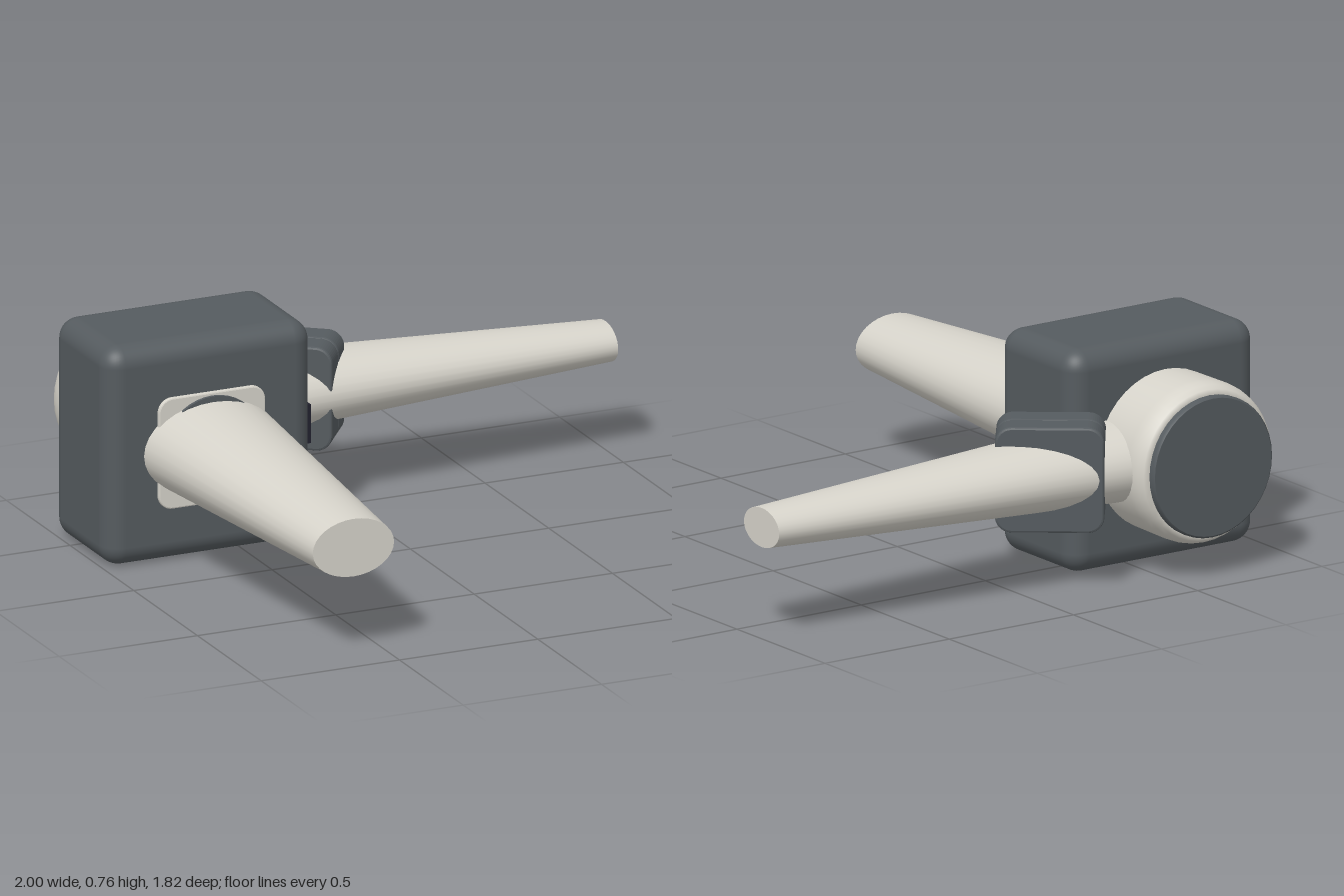
import * as THREE from 'three';
import { RoundedBoxGeometry } from 'three/addons/geometries/RoundedBoxGeometry.js';

const CY = 0.38; // shared centre height
const CX = -0.625; // housing centre

export function createModel() {
  const model = new THREE.Group();
  const slate = new THREE.MeshStandardMaterial({ name: 'slateGrey', color: 0x555b5f });
  const cream = new THREE.MeshStandardMaterial({ name: 'warmWhite', color: 0xd6d3ca });
  const ink = new THREE.MeshStandardMaterial({ name: 'inkBlack', color: 0x22222e });

  const add = (name, geometry, material, x, y, z, parent = model) => {
    const mesh = new THREE.Mesh(geometry, material);
    mesh.name = name;
    mesh.position.set(x, y, z);
    parent.add(mesh);
    return mesh;
  };

  // square slab with rounded corners, centred, facing +z
  const slab = (size, radius, depth, bevel) => {
    const h = size / 2 - bevel, r = radius - bevel;
    const s = new THREE.Shape();
    s.absarc(h - r, h - r, r, 0, Math.PI / 2);
    s.absarc(r - h, h - r, r, Math.PI / 2, Math.PI);
    s.absarc(r - h, r - h, r, Math.PI, Math.PI * 1.5);
    s.absarc(h - r, r - h, r, Math.PI * 1.5, Math.PI * 2);
    const g = new THREE.ExtrudeGeometry(s, {
      depth: depth - 2 * bevel, bevelSize: bevel, bevelThickness: bevel, bevelSegments: 2, curveSegments: 6,
    });
    return g.translate(0, 0, bevel - depth / 2);
  };

  // tapered arm with a flattened oval section, along +y before turning
  const taper = (end, start, length) => new THREE.CylinderGeometry(end, start, length, 32);

  // main housing and side button
  add('housing', new RoundedBoxGeometry(0.75, 0.76, 0.43, 5, 0.07), slate, CX, CY, -0.425);
  add('sideButton', new THREE.BoxGeometry(0.04, 0.135, 0.085), ink, -0.25, CY, -0.325);

  // front mounting plate, collar and arm
  add('frontPlate', slab(0.385, 0.05, 0.03, 0.005), cream, CX, CY, -0.212);
  add('frontCollar', new THREE.CylinderGeometry(0.182, 0.182, 0.04, 40).rotateX(Math.PI / 2), slate, CX, CY, -0.206);
  add('frontArm', taper(0.147, 0.241, 1.12).rotateX(Math.PI / 2).scale(1, 0.68, 1), cream, CX, CY, 0.35);

  // rear drum with rounded rim, and its cap
  const drum = [[0.272, 0], [0.275, 0.2], [0.274, 0.225], [0.268, 0.25], [0.257, 0.27], [0.242, 0.28], [0, 0.28]]
    .map(([r, y]) => new THREE.Vector2(r, y));
  add('rearDrum', new THREE.LatheGeometry(drum, 40).rotateX(-Math.PI / 2), cream, CX, CY, -0.61);
  const cap = [[0.241, 0], [0.241, 0.025], [0.235, 0.031], [0.234, 0.031], [0, 0.031]]
    .map(([r, y]) => new THREE.Vector2(r, y));
  add('rearCap', new THREE.LatheGeometry(cap, 40).rotateX(-Math.PI / 2), slate, CX, CY, -0.881);

  // side arm
  add('sideArm', taper(0.1, 0.208, 1.46).rotateZ(-Math.PI / 2).scale(1, 0.67, 1), cream, 0.27, CY, -0.64);

  // angled clamp made of two slabs
  const clamp = new THREE.Group();
  clamp.name = 'clamp';
  clamp.position.set(-0.154, CY, -0.652);
  clamp.rotation.y = -0.6435;
  for (const [name, side] of [['clampFrontHalf', 1], ['clampRearHalf', -1]]) {
    add(name, slab(0.36, 0.055, 0.1, 0.008), slate, 0, 0, side * 0.05, clamp);
  }
  model.add(clamp);

  return model;
}
